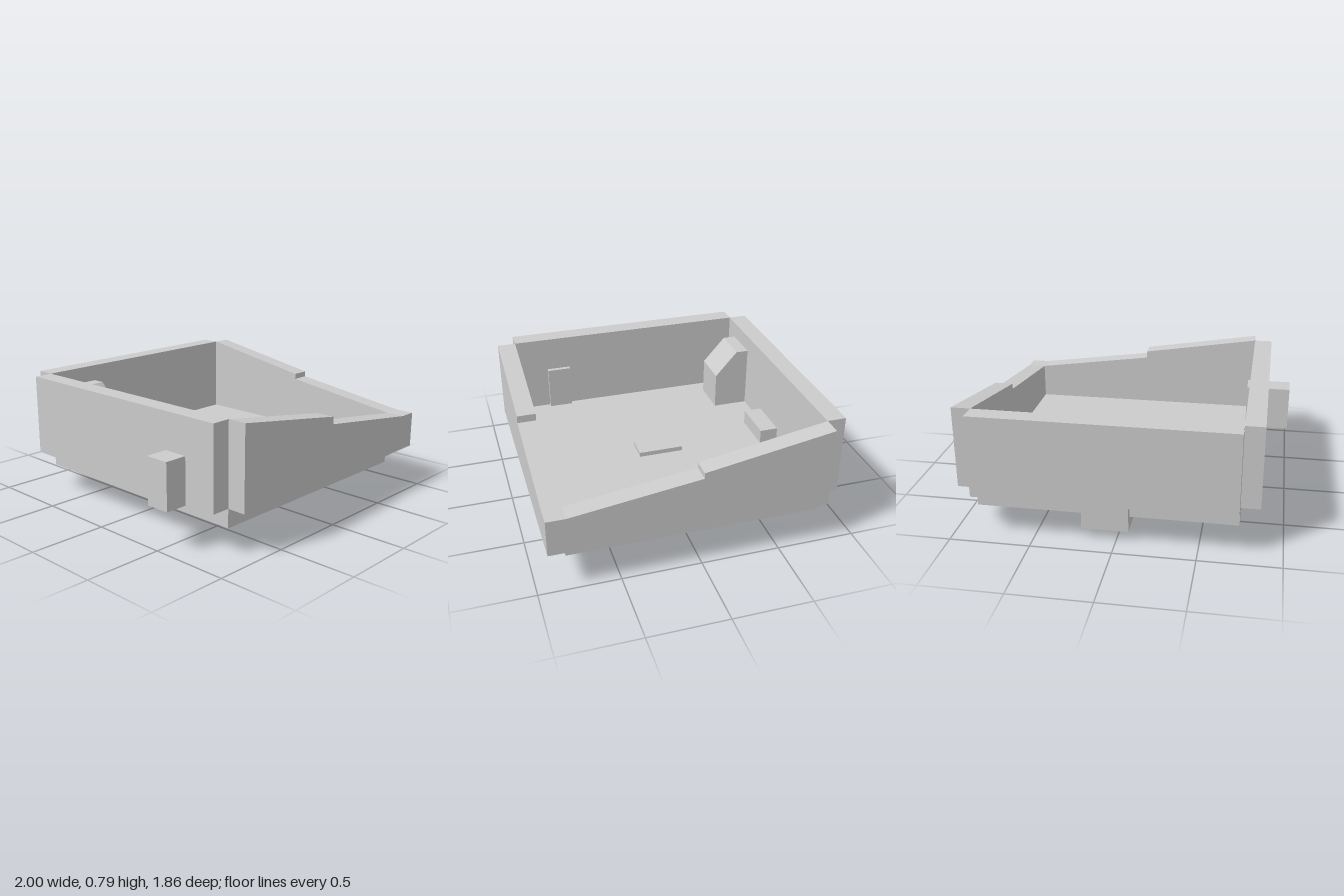
import * as THREE from 'three';

const material = new THREE.MeshStandardMaterial({ color: 0xcccccc, flatShading: true });

function add(group, name, geometry) {
  const mesh = new THREE.Mesh(geometry, material);
  mesh.name = name;
  group.add(mesh);
  return mesh;
}

// Box given by its limits on each axis
function box(group, name, [x0, x1], [y0, y1], [z0, z1]) {
  const mesh = add(group, name, new THREE.BoxGeometry(x1 - x0, y1 - y0, z1 - z0));
  mesh.position.set((x0 + x1) / 2, (y0 + y1) / 2, (z0 + z1) / 2);
  return mesh;
}

// Outline in the x-y plane, extruded along +z
function panel(group, name, points, depth) {
  const shape = new THREE.Shape(points.map(([x, y]) => new THREE.Vector2(x, y)));
  return add(group, name, new THREE.ExtrudeGeometry(shape, { depth, bevelEnabled: false }));
}

// Outline in the z-y plane, extruded along x from x0 to x1
function sidePanel(group, name, points, x0, x1) {
  const mesh = panel(group, name, points.map(([z, y]) => [-z, y]), x1 - x0);
  mesh.rotation.y = Math.PI / 2;
  mesh.position.x = x0;
  return mesh;
}

export function createModel() {
  const model = new THREE.Group();
  model.name = 'openTray';
  const base = 0.265, top = 0.787;

  // Floor slab and the two full-height walls
  box(model, 'floor', [-0.735, 0.875], [0.147, base], [-0.81, 0.805]);
  box(model, 'backWall', [-0.735, 0.875], [base, top], [-0.93, -0.81]);
  box(model, 'rightWall', [-0.855, -0.735], [base, top], [-0.81, 0.805]);

  // Sloping walls with a step halfway, meeting at the low corner
  const front = panel(model, 'frontWall', [
    [-0.735, base], [0.875, base], [0.875, 0.5], [0.07, 0.612], [0.07, 0.66], [-0.735, top],
  ], 0.12);
  front.position.z = 0.805;
  sidePanel(model, 'leftWall', [
    [-0.81, base], [0.925, base], [0.925, 0.5], [0.805, 0.5], [0, 0.61], [0, 0.647], [-0.81, top],
  ], 0.875, 0.995);

  // Upright block with a chamfered front, against the back wall
  sidePanel(model, 'chamferedBlock', [
    [-0.85, 0.26], [-0.575, 0.26], [-0.575, 0.51], [-0.725, 0.68], [-0.85, 0.68],
  ], -0.625, -0.365);

  // Small blocks passing through the floor and the side wall
  box(model, 'centreBlock', [-0.01, 0.15], [0, 0.295], [-0.15, 0.145]);
  box(model, 'backBlock', [-0.075, 0.215], [0.063, 0.36], [-0.85, -0.69]);
  box(model, 'sideBlock', [-1, -0.705], [0.26, 0.555], [0.43, 0.588]);

  return model;
}
